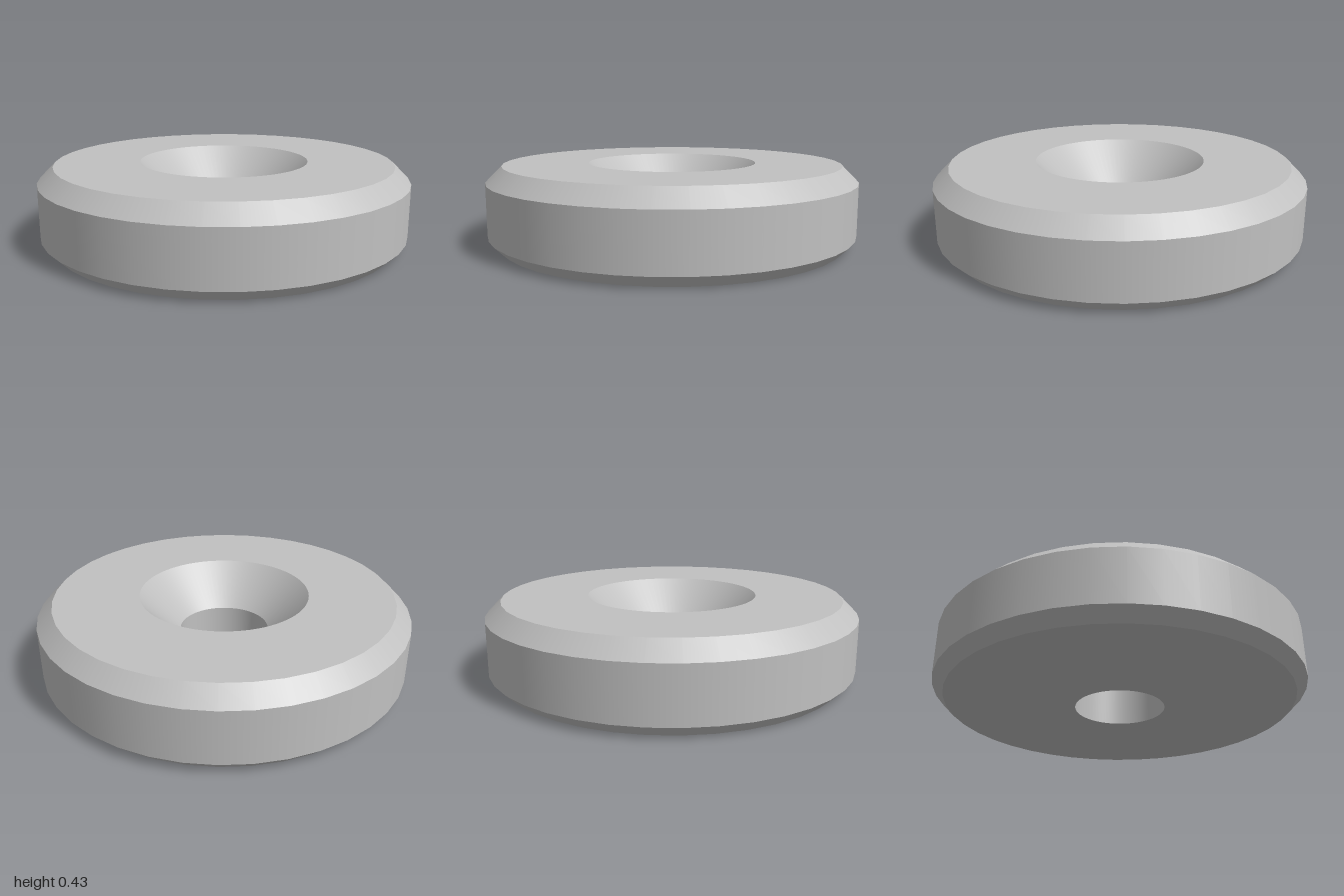
import * as THREE from 'three';

const OUTER_SIDES = 40, HOLE_SIDES = 80;
const HEIGHT = 0.427;

export function createModel() {
  const group = new THREE.Group();
  group.name = 'countersunkWasher';
  const metal = new THREE.MeshStandardMaterial({ color: 0xc0c0c0 });
  metal.name = 'grey metal';

  const add = (name, geometry) => {
    const mesh = new THREE.Mesh(geometry, metal);
    mesh.name = name;
    group.add(mesh);
  };

  // One smooth band of revolution; listing the points upward faces it outward
  const band = (name, sides, r0, y0, r1, y1) => {
    const g = new THREE.LatheGeometry([new THREE.Vector2(r0, y0), new THREE.Vector2(r1, y1)], sides);
    g.normalizeNormals();
    add(name, g);
  };

  // Flat ring whose outer and inner edges match the bands they meet
  const circle = (r, n) => Array.from({ length: n }, (_, i) => {
    const a = i / n * Math.PI * 2;
    return new THREE.Vector2(r * Math.cos(a), r * Math.sin(a));
  });
  const ring = (name, outer, inner, y, up) => {
    const shape = new THREE.Shape(circle(outer, OUTER_SIDES));
    shape.holes.push(new THREE.Path(circle(inner, HOLE_SIDES)));
    const g = new THREE.ShapeGeometry(shape);
    g.rotateX(up ? -Math.PI / 2 : Math.PI / 2);
    g.translate(0, y, 0);
    add(name, g);
  };

  // Outer rim with its two chamfers
  band('bottomChamfer', OUTER_SIDES, 0.94, 0, 1, 0.06);
  band('rim', OUTER_SIDES, 1, 0.06, 1, 0.342);
  band('topChamfer', OUTER_SIDES, 1, 0.342, 0.915, HEIGHT);

  // Countersink and straight bore
  band('countersink', HOLE_SIDES, 0.457, HEIGHT, 0.243, 0.213);
  band('bore', HOLE_SIDES, 0.243, 0.213, 0.243, 0);

  // Flat faces
  ring('topFace', 0.915, 0.457, HEIGHT, true);
  ring('bottomFace', 0.94, 0.243, 0, false);

  return group;
}
